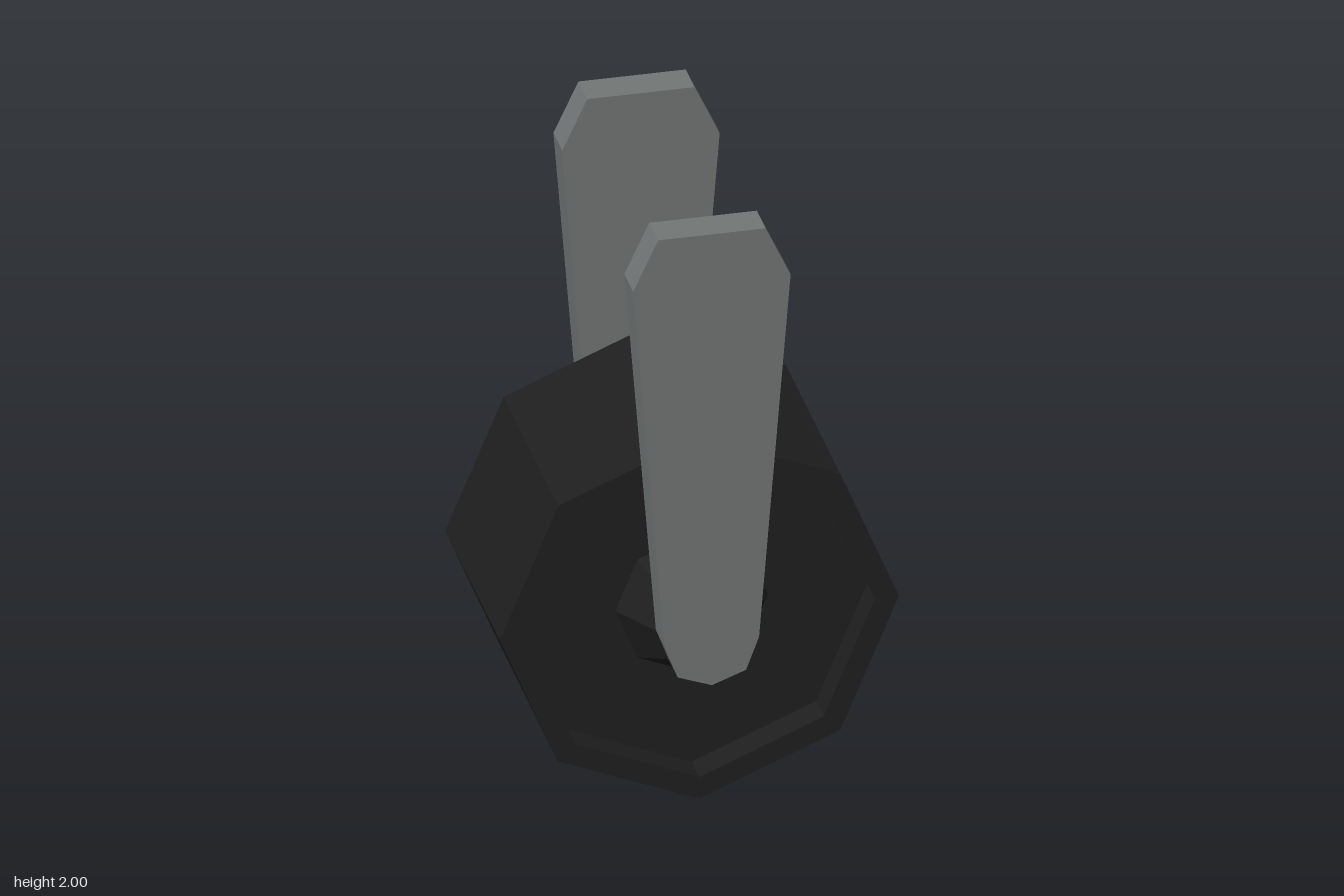
import * as THREE from 'three';

export function createModel() {
  const group = new THREE.Group();
  const rubber = new THREE.MeshStandardMaterial({ color: 0x1f1f1f, flatShading: true });
  rubber.name = 'blackRubber';
  const metal = new THREE.MeshStandardMaterial({ color: 0x737776, flatShading: true });
  metal.name = 'greyMetal';
  const axleY = 0.615;

  const add = (name, geometry, material, y, z) => {
    const mesh = new THREE.Mesh(geometry, material);
    mesh.name = name;
    mesh.position.set(0, y, z);
    group.add(mesh);
  };

  // Octagonal wheel with recessed sides and tapered hubs, turned about the axle
  const half = [[0.613, 0.355], [0.54, 0.355], [0.54, 0.255], [0.235, 0.255], [0.143, 0.408], [0, 0.408]];
  const profile = [
    ...half.map(([r, h]) => new THREE.Vector2(r, -h)).reverse(),
    ...half.map(([r, h]) => new THREE.Vector2(r, h)),
  ];
  add('wheel', new THREE.LatheGeometry(profile, 8).rotateX(Math.PI / 2), rubber, axleY, 0);

  // Tapered strut outline, mirrored about x = 0
  const side = [[0.105, 0.51], [0.145, 0.617], [0.242, 1.835], [0.165, 2]];
  const outline = new THREE.Shape([
    new THREE.Vector2(0, 0.471),
    ...side.map(([x, y]) => new THREE.Vector2(x, y)),
    ...side.map(([x, y]) => new THREE.Vector2(-x, y)).reverse(),
  ]);

  for (const s of [1, -1]) {
    const end = s > 0 ? 'front' : 'back';
    const strut = new THREE.ExtrudeGeometry(outline, { depth: 0.115, bevelEnabled: false });
    add(end + 'Strut', strut, metal, 0, s > 0 ? 0.402 : -0.517);

    // Axle boss, set slightly high so that it shows above the hub
    const boss = new THREE.CylinderGeometry(0.127, 0.16, 0.055, 8).rotateX(s * Math.PI / 2);
    add(end + 'AxleBoss', boss, metal, 0.637, s * 0.3795);
  }
  return group;
}
